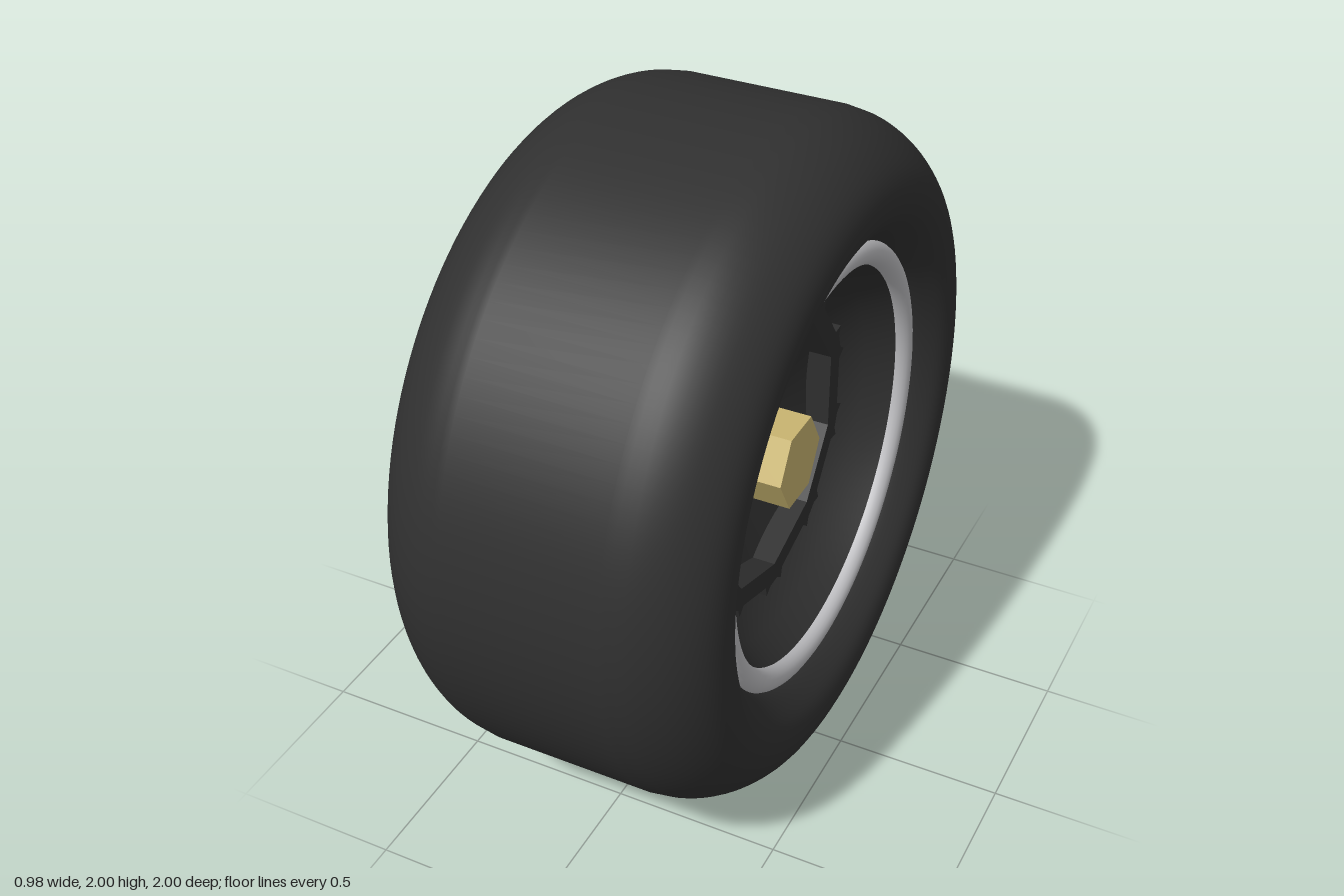
import * as THREE from 'three';

const tyreRubber = new THREE.MeshStandardMaterial({ color: 0x303030 });
const rimDark = new THREE.MeshStandardMaterial({ color: 0x2e2e2e, side: THREE.DoubleSide });
const lipSilver = new THREE.MeshStandardMaterial({ color: 0xbcbcbf });
const nutBrass = new THREE.MeshStandardMaterial({ color: 0xc8b470 });

// Revolve [radius, x] points around the x axis; outer surfaces run towards +x
function revolve(points, segments = 96) {
  return new THREE.LatheGeometry(points.map(([r, x]) => new THREE.Vector2(r, x)), segments).rotateZ(-Math.PI / 2);
}

// Ten-sided washer outline with a pair of small horns at every corner
function hornedShape() {
  const shape = new THREE.Shape();
  const tooth = [[-7.5, 0.443], [-6, 0.477], [-3, 0.456], [3, 0.456], [6, 0.477], [7.5, 0.443]];
  const outline = [], inner = [];
  const at = (deg, r) => {
    const a = THREE.MathUtils.degToRad(deg);
    return new THREE.Vector2(r * Math.cos(a), r * Math.sin(a));
  };
  for (let i = 0; i < 10; i++) {
    const corner = 90 + i * 36;
    tooth.forEach(([offset, r]) => outline.push(at(corner + offset, r)));
    inner.push(at(corner, 0.39));
  }
  shape.setFromPoints(outline);
  shape.holes.push(new THREE.Path().setFromPoints(inner.reverse()));
  return shape;
}

export function createModel() {
  const wheel = new THREE.Group();
  wheel.name = 'wheel';
  const add = (name, geometry, material) => {
    const mesh = new THREE.Mesh(geometry, material);
    mesh.name = name;
    mesh.position.y = 1;
    wheel.add(mesh);
  };

  // Tyre: rounded shoulders and sidewalls that tuck in towards the rim
  const side = [[1, 0.23], [0.985, 0.315], [0.94, 0.4], [0.87, 0.465], [0.8, 0.488],
    [0.735, 0.478], [0.685, 0.44], [0.655, 0.4], [0.645, 0.36]];
  const curve = new THREE.CatmullRomCurve3(side.map(([r, x]) => new THREE.Vector3(r, x, 0)));
  const half = curve.getPoints(32).map((p) => [Math.min(p.x, 1), p.y]);
  const mirrored = half.map(([r, x]) => [r, -x]).reverse();
  add('tyre', revolve([...mirrored, ...half], 128), tyreRubber);

  // Barrel, open at the back
  add('rimBarrel', revolve([[0.585, 0.385], [0.6, 0.2], [0.64, -0.36]]), rimDark);

  // Dished centre with a round opening
  add('rimDish', revolve([[0.586, 0.385], [0.54, 0.3], [0.47, 0.215], [0.39, 0.19], [0.21, 0.13]]), rimDark);

  // Bright rounded lip
  add('rimLip', new THREE.TorusGeometry(0.62, 0.036, 20, 96).rotateY(Math.PI / 2).translate(0.385, 0, 0), lipSilver);

  // Horned washer set into the dish
  const washer = new THREE.ExtrudeGeometry(hornedShape(), { depth: 0.08, bevelEnabled: false });
  add('hornedRing', washer.rotateY(Math.PI / 2).translate(0.18, 0, 0), rimDark);

  // Hexagonal centre nut with flat sides
  const nut = new THREE.CylinderGeometry(0.135, 0.135, 0.16, 6).toNonIndexed();
  nut.computeVertexNormals();
  add('centreNut', nut.rotateZ(-Math.PI / 2).translate(0.25, 0, 0), nutBrass);

  return wheel;
}
